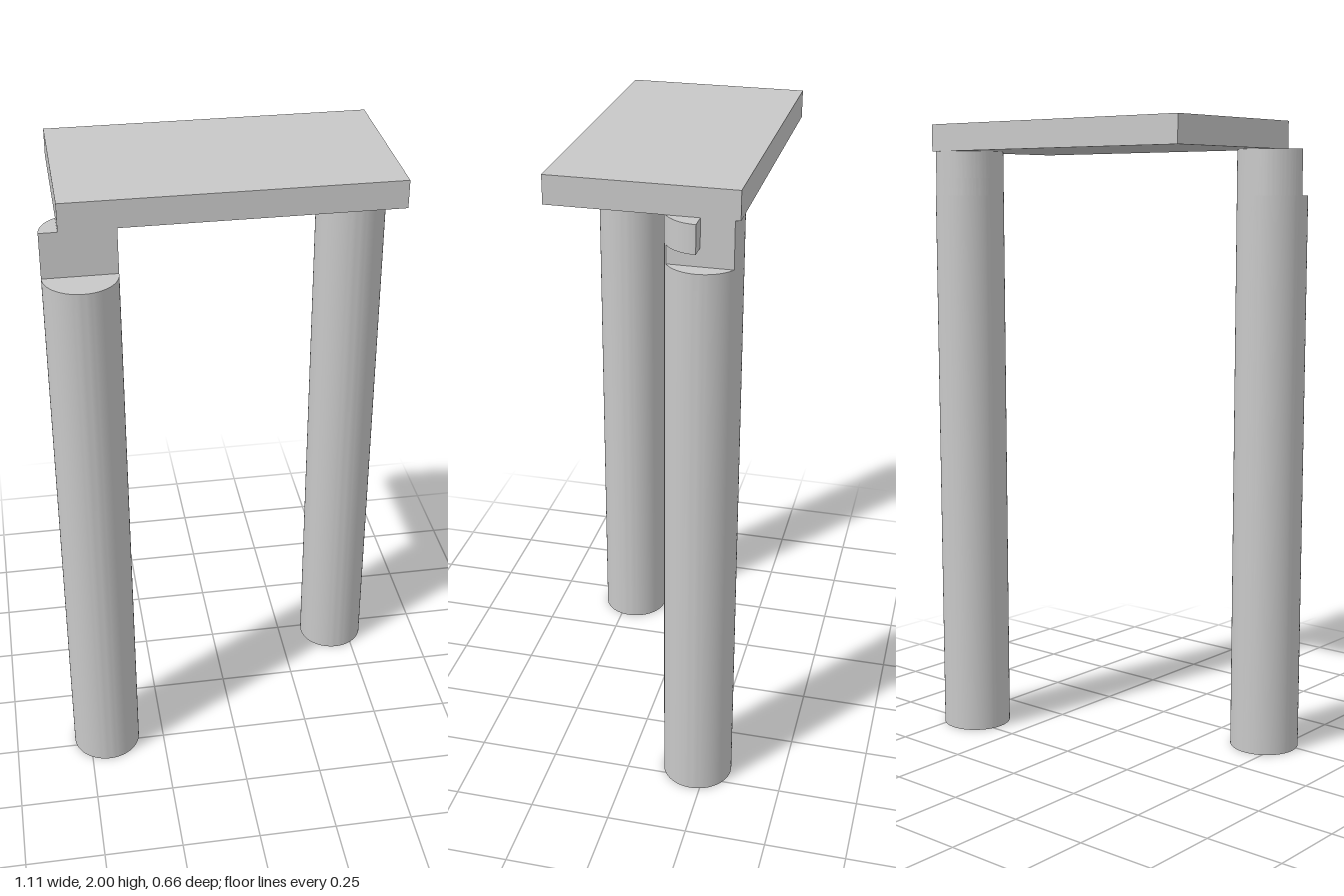
import * as THREE from 'three';
import { toCreasedNormals } from 'three/addons/utils/BufferGeometryUtils.js';

const R = 0.11;          // leg radius
const LEG_X = 0.4425;    // leg centre offsets
const LEG_Z = 0.2205;
const SLAB_X = 0.4985;   // half length of the top slab
const STEP_Y = 1.775, SLOT_Y = 1.83, SLAB_Y = 1.915, TOP_Y = 2;

export function createModel() {
  const grey = new THREE.MeshStandardMaterial({ color: 0xc8c8c8 });
  grey.name = 'plain grey';
  const model = new THREE.Group();
  model.name = 'slabOnTwoLegs';

  // Upright prism of a round section running from angle a0 to a1 (0 = +x, counterclockwise
  // seen from above), closed through an optional extra corner relative to the leg centre.
  function section(group, name, a0, a1, y0, y1, corner) {
    const shape = new THREE.Shape();
    shape.absarc(0, 0, R, a0, a1, false);
    if (corner) shape.lineTo(corner[0], corner[1]);
    shape.closePath();
    let geo = new THREE.ExtrudeGeometry(shape, { depth: y1 - y0, bevelEnabled: false, curveSegments: 48 });
    geo = toCreasedNormals(geo.rotateX(-Math.PI / 2), 0.6);
    const mesh = new THREE.Mesh(geo, grey);
    mesh.name = name;
    mesh.position.y = y0;
    group.add(mesh);
  }

  function leg(name, x, z) {
    const group = new THREE.Group();
    group.name = name;
    group.position.set(x, 0, z);
    section(group, 'shaft', 0, Math.PI * 2, 0, STEP_Y);
    model.add(group);
    return group;
  }

  // Front leg: the front half is cut away below the slab
  const front = leg('frontLeg', -LEG_X, LEG_Z);
  section(front, 'halfRoundHead', 0, Math.PI, STEP_Y, SLAB_Y);

  // Back leg: a flat slot on its outer side, with a small quarter tongue above it
  const back = leg('backLeg', LEG_X, -LEG_Z);
  const flat = SLAB_X - LEG_X;
  const cut = Math.acos(flat / R);
  section(back, 'slottedNeck', cut, Math.PI * 2 - cut, STEP_Y, SLOT_Y);
  section(back, 'headWithTongue', cut, Math.PI * 2, SLOT_Y, SLAB_Y, [flat, 0]);

  // Top slab, flush with the back of one leg and the cut face of the other
  const zBack = -LEG_Z - R;
  const slab = new THREE.Mesh(
    new THREE.BoxGeometry(SLAB_X * 2, TOP_Y - SLAB_Y, LEG_Z - zBack), grey);
  slab.name = 'topSlab';
  slab.position.set(0, (TOP_Y + SLAB_Y) / 2, (LEG_Z + zBack) / 2);
  model.add(slab);

  return model;
}
